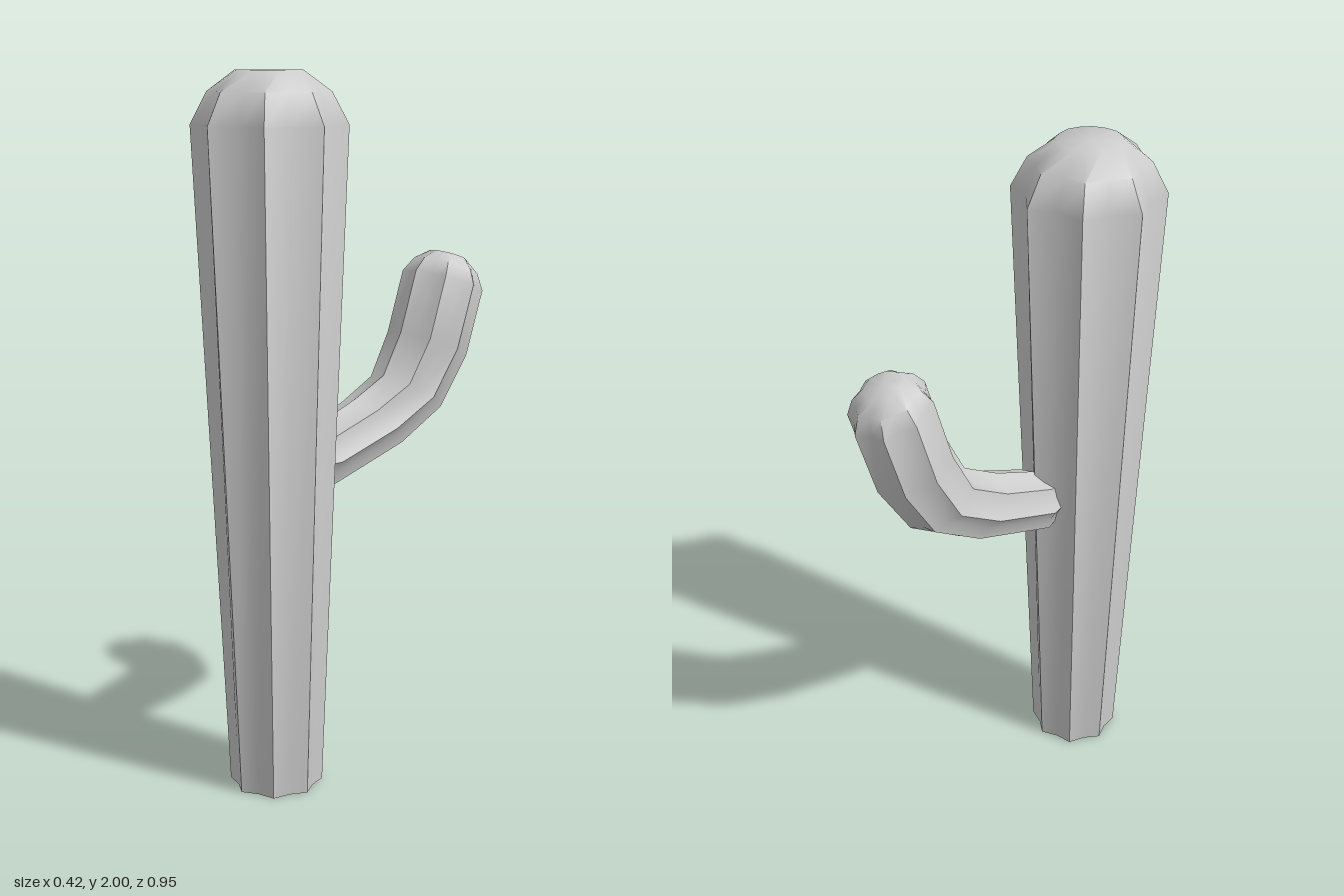
import * as THREE from 'three';
import { toCreasedNormals } from 'three/addons/utils/BufferGeometryUtils.js';

const RIBS = 8;

// Closed ribbed tube through star-shaped rings.
// Each ring: centre x, y, z, tilt in degrees, ridge radius, valley/ridge ratio
function ribbedTube(rings) {
  const n = RIBS * 2;
  const pos = [];
  const index = [];
  for (const [x, y, z, tilt, radius, valley] of rings) {
    const t = THREE.MathUtils.degToRad(tilt);
    for (let j = 0; j < n; j++) {
      const a = (j / n) * Math.PI * 2;
      const r = j % 2 ? radius * valley : radius;
      const w = Math.sin(a) * r;
      pos.push(x + Math.cos(a) * r, y - Math.cos(t) * w, z - Math.sin(t) * w);
    }
  }
  // sides
  const last = rings.length - 1;
  for (let i = 0; i < last; i++) {
    for (let j = 0; j < n; j++) {
      const k = (j + 1) % n;
      const a = i * n + j, b = i * n + k, c = b + n, d = a + n;
      index.push(a, b, c, a, c, d);
    }
  }
  // end caps
  const start = pos.length / 3;
  pos.push(...rings[0].slice(0, 3), ...rings[last].slice(0, 3));
  for (let j = 0; j < n; j++) {
    const k = (j + 1) % n;
    index.push(start, k, j, start + 1, last * n + j, last * n + k);
  }
  const geometry = new THREE.BufferGeometry();
  geometry.setAttribute('position', new THREE.Float32BufferAttribute(pos, 3));
  geometry.setIndex(index);
  return toCreasedNormals(geometry, 0.85);
}

export function createModel() {
  const group = new THREE.Group();
  group.name = 'cactus';
  const material = new THREE.MeshStandardMaterial({ color: 0xcccccc });

  const add = (name, rings) => {
    const mesh = new THREE.Mesh(ribbedTube(rings), material);
    mesh.name = name;
    group.add(mesh);
  };

  // tall trunk, widening upwards to a domed top
  const trunkZ = 0.265;
  add('trunk', [
    [0, 0, trunkZ, 90, 0.132, 0.87],
    [0, 1.86, trunkZ, 90, 0.21, 0.83],
    [0, 1.945, trunkZ, 90, 0.165, 0.88],
    [0, 2, trunkZ, 90, 0.09, 0.98],
  ]);

  // arm growing out of the back and curving upwards
  add('arm', [
    [0.01, 0.93, 0.143, 0, 0.075, 0.87],
    [0.01, 0.935, 0.1, 0, 0.095, 0.85],
    [0.013, 1.0, -0.106, 42, 0.105, 0.85],
    [0.023, 1.074, -0.238, 57, 0.112, 0.85],
    [0.037, 1.21, -0.312, 67, 0.121, 0.85],
    [0.052, 1.394, -0.36, 70, 0.121, 0.85],
    [0.054, 1.437, -0.37, 70, 0.096, 0.88],
    [0.055, 1.468, -0.377, 70, 0.055, 0.98],
  ]);

  return group;
}
